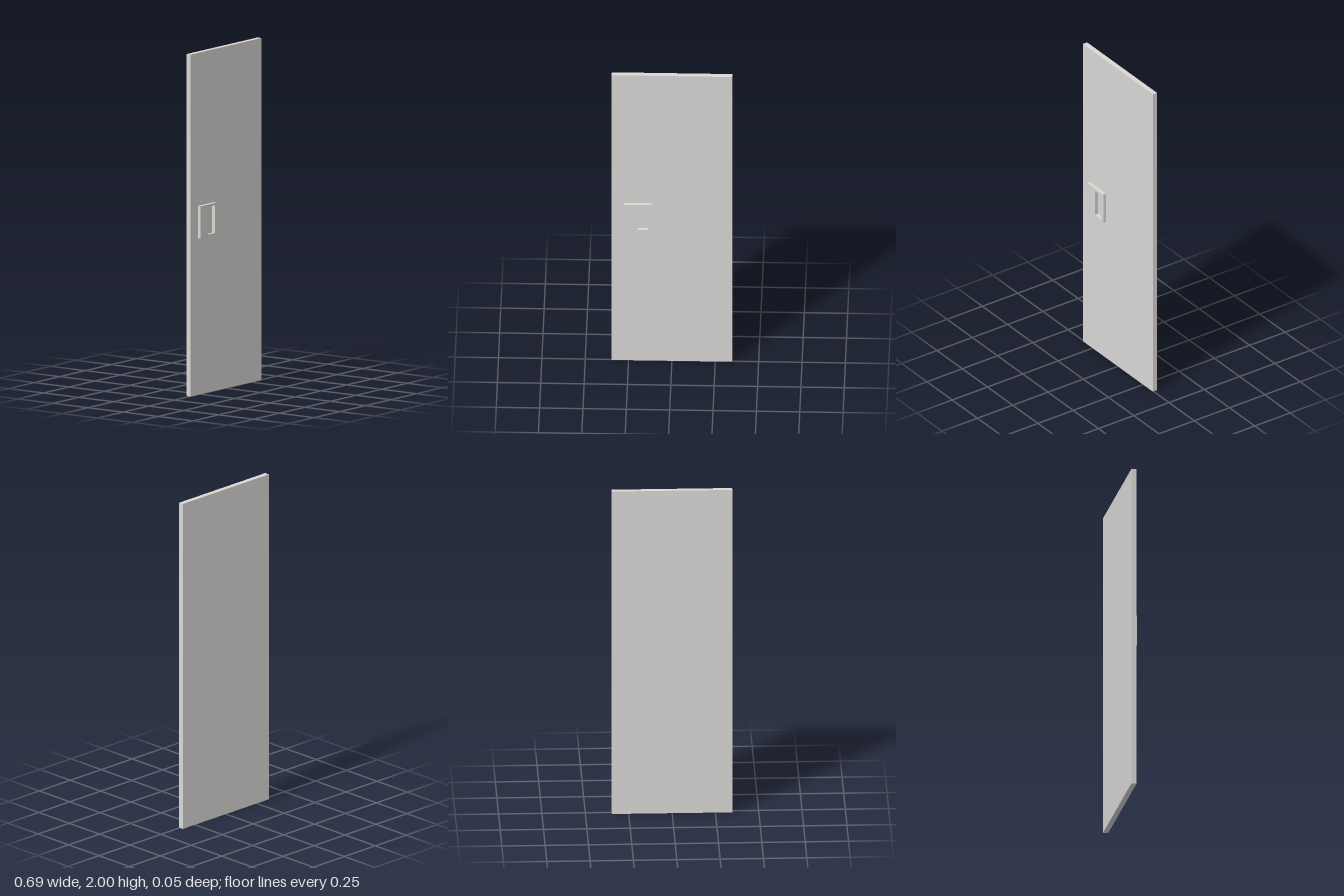
import * as THREE from 'three';

export function createModel() {
  const group = new THREE.Group();
  const grey = new THREE.MeshStandardMaterial({ color: 0xdad8d5 });
  grey.name = 'light warm grey';

  // Flat door leaf
  const panel = new THREE.Mesh(new THREE.BoxGeometry(0.695, 2, 0.03), grey);
  panel.name = 'doorPanel';
  panel.position.set(0, 1, -0.01);
  group.add(panel);

  // Traces a rectangle from its edges
  const rectangle = (path, x0, x1, y0, y1) => {
    path.moveTo(x0, y0);
    path.lineTo(x1, y0);
    path.lineTo(x1, y1);
    path.lineTo(x0, y1);
    path.closePath();
    return path;
  };

  // Handle plate with a finger recess through to the door leaf
  const outline = rectangle(new THREE.Shape(), -0.276, -0.117, 0.915, 1.105);
  outline.holes.push(rectangle(new THREE.Path(), -0.199, -0.136, 0.929, 1.091));
  const handle = new THREE.Mesh(
    new THREE.ExtrudeGeometry(outline, { depth: 0.02, bevelEnabled: false }),
    grey
  );
  handle.name = 'recessedHandle';
  handle.position.z = 0.005;
  group.add(handle);

  return group;
}
